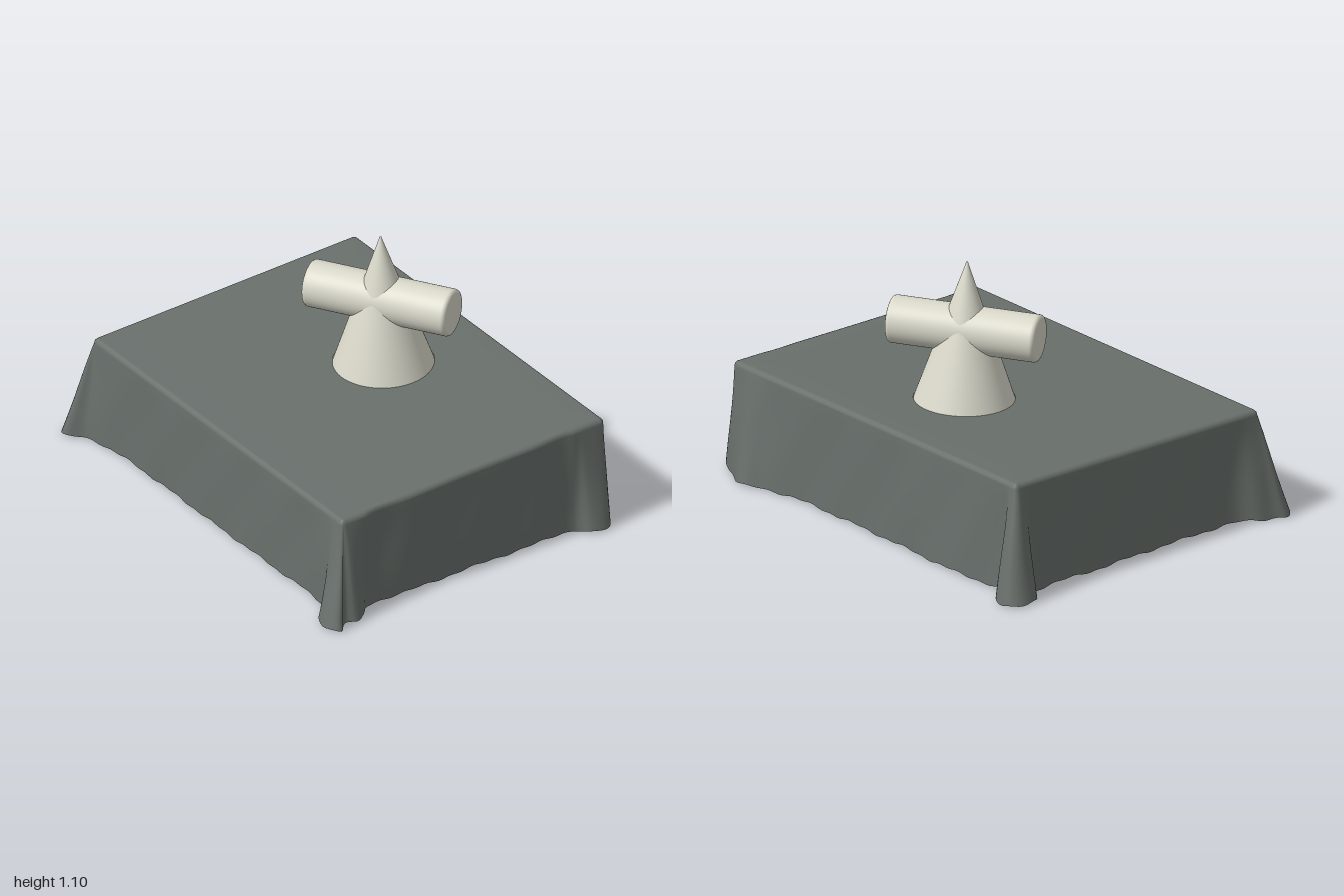
import * as THREE from 'three';
import { mergeVertices } from 'three/addons/utils/BufferGeometryUtils.js';

const CX = -0.02, CZ = -0.2, BASE_R = 0.212; // centre and radius of the cone's foot
const topY = (x, z) => 0.488 - 0.025 * z - 0.005 * x; // slightly tilted table top

// Plan of the hem, anticlockwise from above, with a gathered fold at each corner
const HEM = [
  [-0.4, 0.665], [0, 0.668], [0.4, 0.668], [0.7, 0.668], [0.8, 0.685],
  [0.86, 0.755], [0.93, 0.775], [0.995, 0.735], [0.95, 0.685], [0.97, 0.635], [0.94, 0.58], [0.895, 0.53],
  [0.895, 0.3], [0.892, 0], [0.895, -0.3], [0.9, -0.52],
  [0.955, -0.57], [0.965, -0.65], [0.86, -0.71], [0.75, -0.765], [0.65, -0.725], [0.48, -0.69],
  [0.2, -0.685], [-0.2, -0.69], [-0.5, -0.7], [-0.75, -0.685], [-0.83, -0.69],
  [-0.86, -0.76], [-0.94, -0.78], [-0.995, -0.73], [-0.985, -0.64], [-0.925, -0.605], [-0.9, -0.52],
  [-0.905, -0.25], [-0.9, 0], [-0.9, 0.3], [-0.91, 0.52],
  [-0.96, 0.61], [-0.975, 0.67], [-0.998, 0.73], [-0.95, 0.77], [-0.87, 0.705], [-0.7, 0.672],
];

// Cloth: rings from the cone's foot across the top, over the rounded edge and down to the hem
function clothGeometry() {
  const N = 420, TOP = 4, DROP = 10, EDGE = 0.022;
  const curve = new THREE.CatmullRomCurve3(HEM.map(([x, z]) => new THREE.Vector3(x, 0, z)), true, 'centripetal');
  const hem = curve.getSpacedPoints(N).slice(0, N);
  const pos = [], index = [];
  let rings = 0;
  hem.forEach((h, i) => {
    const px = THREE.MathUtils.clamp(h.x, -0.87, 0.875);
    const pz = THREE.MathUtils.clamp(h.z, -0.655, 0.64);
    const col = [];
    const a = Math.atan2(pz - CZ, px - CX);
    const cx = CX + BASE_R * Math.cos(a), cz = CZ + BASE_R * Math.sin(a);
    // flat top
    for (let k = 0; k <= TOP; k++) {
      const x = THREE.MathUtils.lerp(cx, px, k / TOP), z = THREE.MathUtils.lerp(cz, pz, k / TOP);
      col.push([x, topY(x, z), z]);
    }
    // rounded edge
    const dx = h.x - px, dz = h.z - pz, len = Math.hypot(dx, dz) || 1;
    const r = Math.min(EDGE, len), y0 = topY(px, pz);
    for (const t of [0.35, 0.7, 1]) {
      const q = t * Math.PI / 2;
      const o = r * Math.sin(q) / len;
      col.push([px + dx * o, y0 - EDGE * (1 - Math.cos(q)), pz + dz * o]);
    }
    // hanging skirt with faint ripples and an uneven hem
    const [ex, ey, ez] = col[col.length - 1];
    const u = i / N * Math.PI * 2;
    const hemY = 0.014 + 0.004 * Math.sin(u * 23) + 0.003 * Math.sin(u * 61 + 1);
    for (let k = 1; k <= DROP; k++) {
      const t = k / DROP;
      const ripple = 0.004 * Math.sin(u * 19 + 2 * t) * Math.sin(t * Math.PI) / len;
      col.push([
        ex + (h.x - ex) * t + dx * ripple,
        ey + (hemY - ey) * t,
        ez + (h.z - ez) * t + dz * ripple,
      ]);
    }
    rings = col.length;
    pos.push(...col.flat());
  });
  for (let i = 0; i < N; i++) {
    for (let k = 0; k < rings - 1; k++) {
      const a = i * rings + k, b = ((i + 1) % N) * rings + k;
      index.push(a, a + 1, b + 1, a, b + 1, b);
    }
  }
  const g = new THREE.BufferGeometry();
  g.setAttribute('position', new THREE.Float32BufferAttribute(pos, 3));
  g.setIndex(index);
  const merged = mergeVertices(g, 1e-5);
  merged.computeVertexNormals();
  return merged;
}

export function createModel() {
  const model = new THREE.Group();
  model.name = 'drapedTableStillLife';

  const clothGrey = new THREE.MeshStandardMaterial({ color: 0x69706c, side: THREE.DoubleSide });
  clothGrey.name = 'clothGrey';
  const plaster = new THREE.MeshStandardMaterial({ color: 0xd9d8ca, side: THREE.DoubleSide });
  plaster.name = 'plaster';

  const cloth = new THREE.Mesh(clothGeometry(), clothGrey);
  cloth.name = 'tablecloth';
  model.add(cloth);

  // Plaster solid: hollow cone crossed by a cylinder, leaning with the table top
  const solid = new THREE.Group();
  solid.name = 'plasterSolid';
  solid.position.set(CX, topY(CX, CZ) - 0.003, CZ);
  solid.rotation.x = 0.025;
  model.add(solid);

  const H = 0.613;
  const coneProfile = [[BASE_R, 0], [0.007, H - 0.014], [0.004, H - 0.003], [0, H]];
  const cone = new THREE.Mesh(
    new THREE.LatheGeometry(coneProfile.map(p => new THREE.Vector2(...p)), 64), plaster);
  cone.name = 'cone';
  solid.add(cone);

  const L = 0.325, R = 0.101;
  const half = [[0, L], [R - 0.016, L], [R - 0.012, L - 0.001], [R - 0.004, L - 0.005], [R, L - 0.013], [R, L - 0.02]];
  const barProfile = [...half.map(([r, y]) => [r, -y]), ...half.slice().reverse()];
  const bar = new THREE.Mesh(
    new THREE.LatheGeometry(barProfile.map(p => new THREE.Vector2(...p)), 48), plaster);
  bar.name = 'crossCylinder';
  bar.position.y = 0.312;
  bar.rotation.set(0, 0.539, -Math.PI / 2);
  solid.add(bar);

  return model;
}
